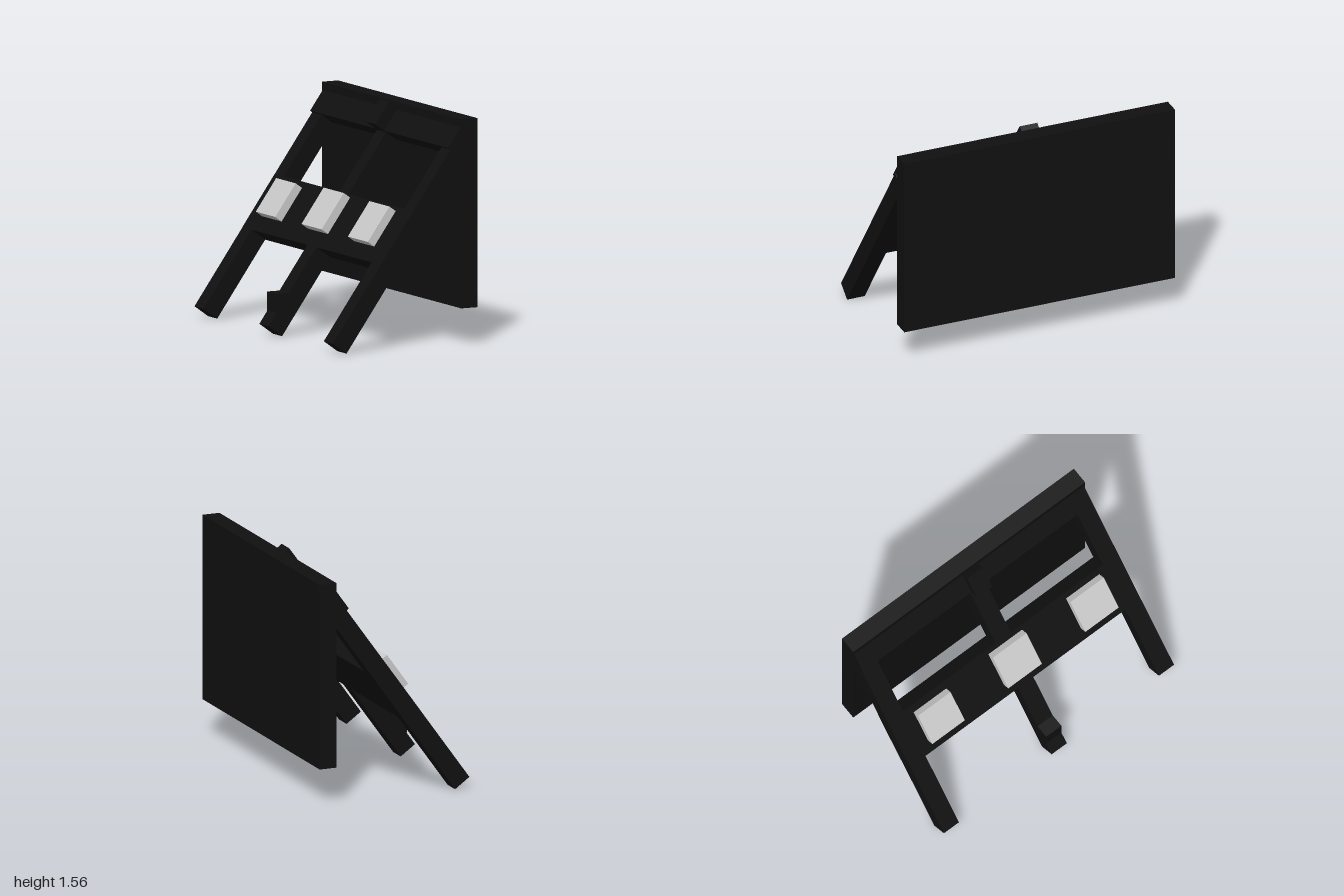
import * as THREE from 'three';

export function createModel() {
  const model = new THREE.Group();
  model.name = 'leaningBoard';
  const black = new THREE.MeshStandardMaterial({ color: 0x101010 });
  const grey = new THREE.MeshStandardMaterial({ color: 0xcccccc });

  // Box given by its limits along each axis
  function box(parent, name, material, [x0, x1], [y0, y1], [z0, z1]) {
    const mesh = new THREE.Mesh(new THREE.BoxGeometry(x1 - x0, y1 - y0, z1 - z0), material);
    mesh.position.set((x0 + x1) / 2, (y0 + y1) / 2, (z0 + z1) / 2);
    mesh.name = name;
    parent.add(mesh);
  }

  // Upright board
  box(model, 'board', black, [0.43, 0.555], [0.25, 1.55], [-1, 1]);

  // Sloping frame: local x runs up the slope, local y points out of its upper face
  const frame = new THREE.Group();
  frame.name = 'supportFrame';
  frame.position.set(-0.56, 0.076, 0);
  frame.rotation.z = Math.atan2(1.271, 0.91);
  model.add(frame);

  // Three legs
  const depth = 0.13;
  const middle = [-0.06, 0.07];
  const legSpans = [[-0.99, -0.86], middle, [0.865, 0.995]];
  for (const span of legSpans) box(frame, 'leg', black, [0, 1.62], [-depth, 0], span);

  // Cross rails
  box(frame, 'middleRail', black, [0.636, 1.065], [-depth, 0], [-0.992, 0.992]);
  box(frame, 'topRail', black, [1.563, 1.746], [0.02 - depth, 0.02], [-0.99, 0.99]);

  // Blocks on the middle leg
  box(frame, 'topBlock', black, [1.563, 1.746], [-0.03, 0.104], middle);
  box(model, 'footBlock', black, [-0.5, -0.37], [0.165, 0.294], middle);

  // Grey weights resting on the middle rail
  const weights = [[-0.8, -0.52, 1.015], [-0.145, 0.145, 1.038], [0.52, 0.808, 1.03]];
  for (const [z0, z1, end] of weights) box(frame, 'weight', grey, [0.744, end], [0.016, 0.076], [z0, z1]);

  return model;
}
